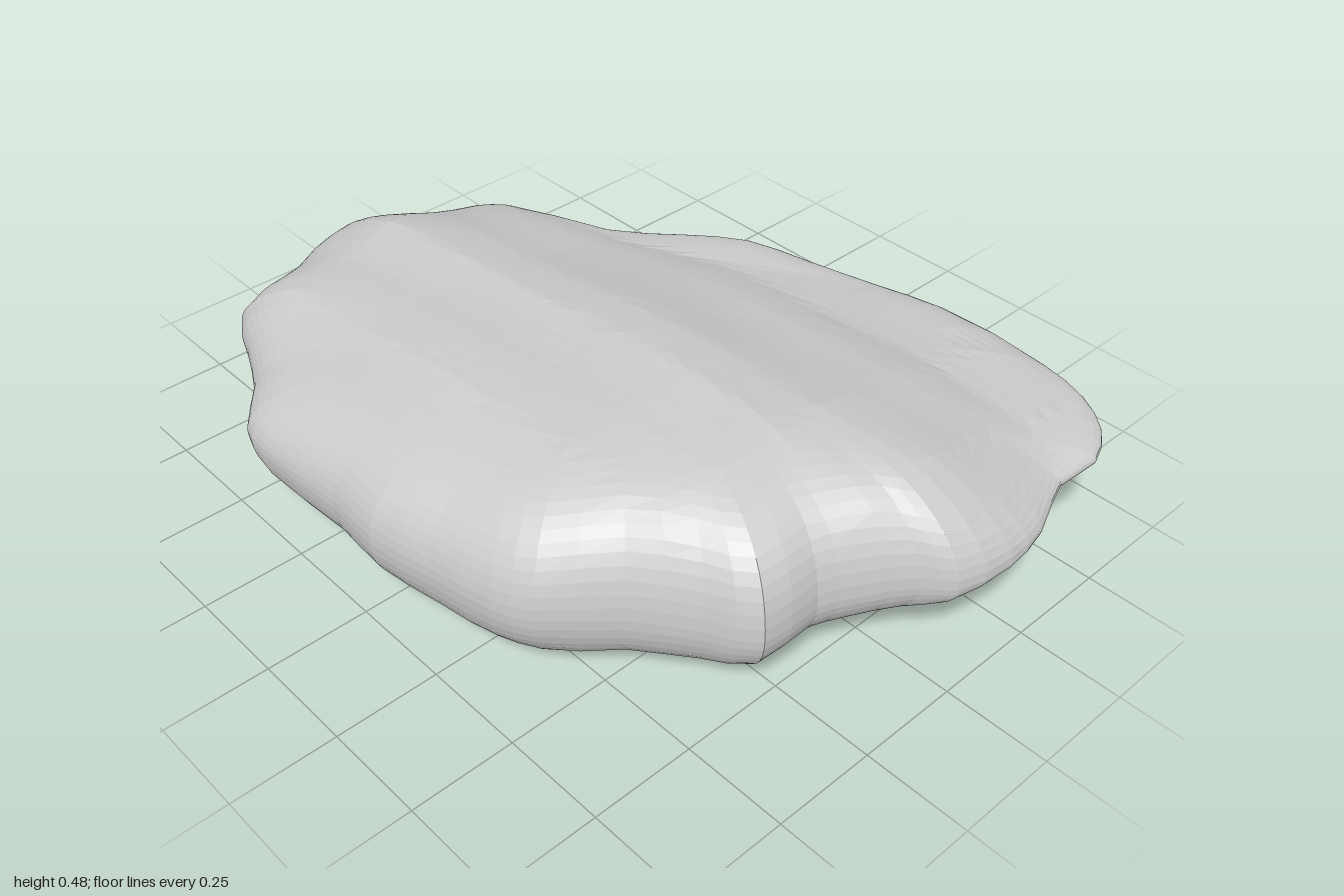
import * as THREE from 'three';

// Plan outline as [x, z], running clockwise from the back tip
const outline = [
  [-0.09, -1.0], [-0.02, -0.97], [0.08, -0.89], [0.23, -0.84], [0.29, -0.78], [0.40, -0.49],
  [0.52, -0.32], [0.61, -0.17], [0.65, 0.0], [0.69, 0.2], [0.72, 0.38], [0.71, 0.68],
  [0.68, 0.8], [0.62, 0.89], [0.53, 0.94], [0.42, 0.93], [0.28, 0.985], [0.16, 1.0],
  [0.03, 0.97], [-0.02, 0.91], [-0.12, 0.84], [-0.20, 0.80], [-0.34, 0.79], [-0.40, 0.69],
  [-0.49, 0.55], [-0.62, 0.42], [-0.66, 0.33], [-0.69, 0.17], [-0.72, 0], [-0.71, -0.15],
  [-0.72, -0.42], [-0.70, -0.51], [-0.61, -0.62], [-0.54, -0.76], [-0.48, -0.88],
  [-0.36, -0.91], [-0.29, -0.93], [-0.20, -0.98],
];

// Height profiles of the upper and lower faces, across x and along z
const topAcross = [[-0.72, 0.38], [-0.6, 0.41], [-0.4, 0.465], [-0.22, 0.475], [-0.07, 0.495], [0.05, 0.48], [0.2, 0.445], [0.32, 0.415], [0.45, 0.375], [0.6, 0.365], [0.72, 0.36]];
const topAlong = [[-1, -0.17], [-0.8, -0.125], [-0.4, -0.085], [-0.1, -0.045], [0.1, -0.025], [0.3, -0.01], [0.55, 0], [0.8, -0.015], [1, -0.07]];
const baseAcross = [[-0.72, 0.02], [-0.62, 0.02], [-0.53, 0], [-0.4, 0.025], [-0.02, 0.06], [0.08, 0.1], [0.2, 0.135], [0.3, 0.135], [0.45, 0.19], [0.6, 0.235], [0.72, 0.245]];
const baseAlong = [[-1, 0.11], [-0.85, 0.075], [-0.6, 0.04], [-0.4, 0.015], [0, 0.01], [0.25, 0], [0.6, 0.015], [0.8, 0.05], [1, 0.08]];

function sample(table, t) {
  for (let i = 1; i < table.length; i++) {
    const [t0, v0] = table[i - 1], [t1, v1] = table[i];
    if (t <= t1) return THREE.MathUtils.mapLinear(Math.max(t, t0), t0, t1, v0, v1);
  }
  return table[table.length - 1][1];
}

// Shallow weathering that runs roughly along the length of the slab
const ripple = (x, z) =>
  0.005 * Math.sin(17 * x + 2.5 * z + 0.8) * Math.cos(4 * z - 3 * x) + 0.004 * Math.sin(9 * z + 6 * x);

function surfaceHeight(x, z, r, up) {
  const rim = 0.245 + 0.075 * x + 0.012 * z;
  const fall = Math.sqrt(Math.max(0, 1 - r ** 10)); // blunt rounded edge
  const face = up
    ? Math.max(sample(topAcross, x) + sample(topAlong, z), rim + 0.05)
    : Math.min(sample(baseAcross, x) + sample(baseAlong, z), rim - 0.05);
  return rim + (face - rim + ripple(x, z)) * fall;
}

function createSlabGeometry(columns, rows) {
  const curve = new THREE.CatmullRomCurve3(
    outline.map(([x, z]) => new THREE.Vector3(x, 0, z)), true, 'centripetal');
  const edge = Array.from({ length: columns }, (_, j) => curve.getPoint(j / columns));
  const positions = [], indices = [];

  // Rings run from the middle of the top, over the rim, to the middle of the base
  for (let i = 0; i <= rows; i++) {
    const phi = (i / rows) * Math.PI;
    const r = Math.sin(phi);
    for (const p of edge) {
      const x = p.x * r, z = p.z * r;
      positions.push(x, surfaceHeight(x, z, r, i <= rows / 2), z);
    }
  }
  for (let i = 0; i < rows; i++) {
    for (let j = 0; j < columns; j++) {
      const next = (j + 1) % columns;
      const a = i * columns + j, b = i * columns + next;
      const c = a + columns, d = b + columns;
      if (i > 0) indices.push(a, b, d);
      if (i < rows - 1) indices.push(a, d, c);
    }
  }

  const geometry = new THREE.BufferGeometry();
  geometry.setAttribute('position', new THREE.Float32BufferAttribute(positions, 3));
  geometry.setIndex(indices);
  geometry.computeVertexNormals();
  geometry.computeBoundingBox();
  geometry.translate(0, -geometry.boundingBox.min.y, 0);
  return geometry;
}

export function createModel() {
  const group = new THREE.Group();
  group.name = 'flatRock';
  const material = new THREE.MeshStandardMaterial({ color: 0xcccccc, flatShading: true });
  const slab = new THREE.Mesh(createSlabGeometry(76, 48), material);
  slab.name = 'rockSlab';
  group.add(slab);
  return group;
}
